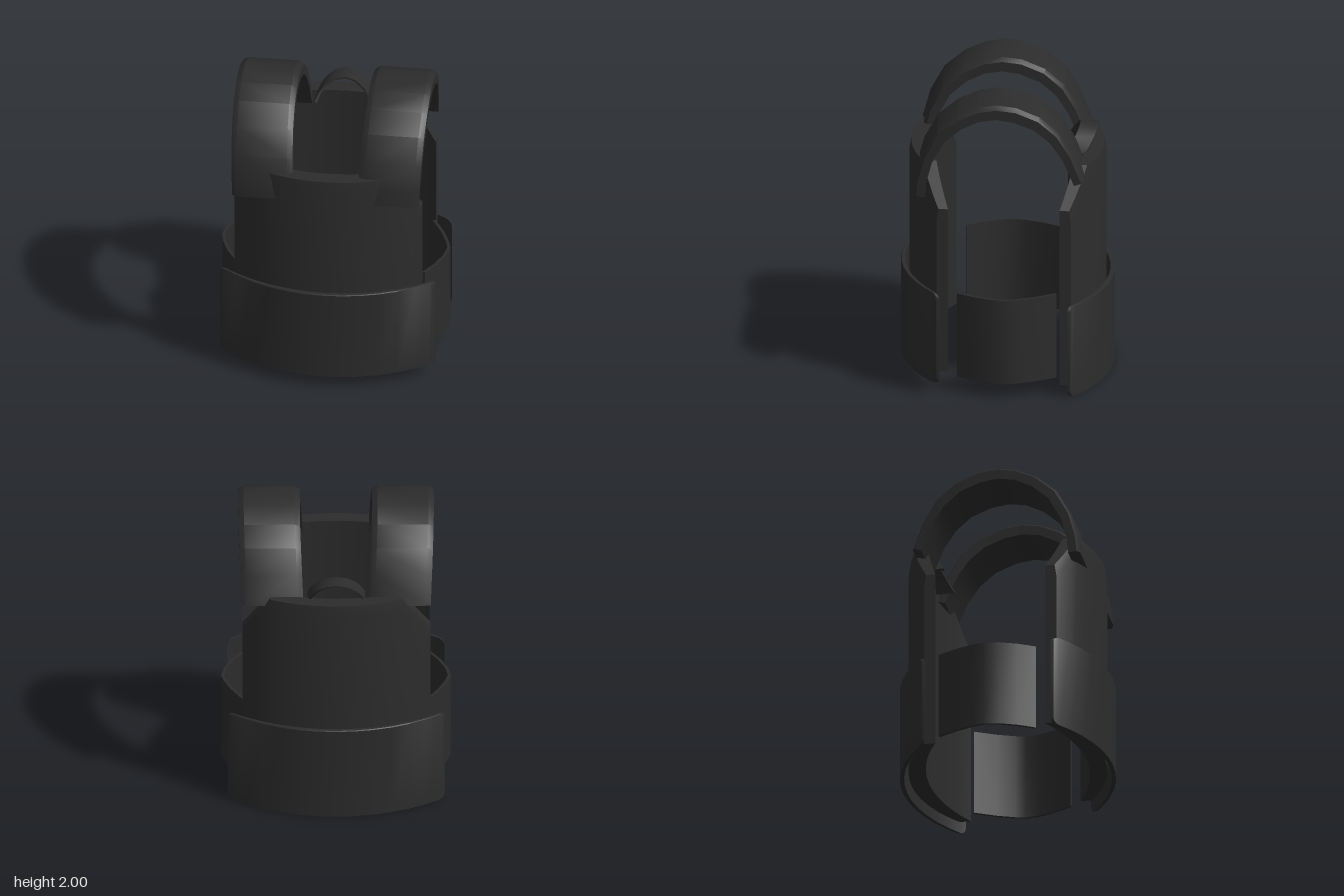
import * as THREE from 'three';
import { toCreasedNormals } from 'three/addons/utils/BufferGeometryUtils.js';

// Skin a series of closed rings ([x, y, z] points), cap both ends, face outward
function loft(rings) {
  const tris = [];
  const n = rings[0].length;
  for (let i = 0; i < rings.length - 1; i++) {
    for (let j = 0; j < n; j++) {
      const k = (j + 1) % n;
      const a = rings[i][j], b = rings[i][k], c = rings[i + 1][k], d = rings[i + 1][j];
      tris.push([a, b, c], [a, c, d]);
    }
  }
  const first = rings[0], last = rings[rings.length - 1];
  for (let j = 1; j < n - 1; j++) {
    tris.push([first[0], first[j + 1], first[j]], [last[0], last[j], last[j + 1]]);
  }
  // Signed volume decides the winding
  let volume = 0;
  for (const [a, b, c] of tris) {
    volume += a[0] * (b[1] * c[2] - b[2] * c[1]) + a[1] * (b[2] * c[0] - b[0] * c[2]) + a[2] * (b[0] * c[1] - b[1] * c[0]);
  }
  const pos = tris.flatMap(([a, b, c]) => (volume > 0 ? [a, b, c] : [a, c, b]).flat());
  const geo = new THREE.BufferGeometry();
  geo.setAttribute('position', new THREE.Float32BufferAttribute(pos, 3));
  return toCreasedNormals(geo, 0.55);
}

// Depth of a circular bow that falls from zMid to zEdge at half width w
function bow(x, w, zMid, zEdge) {
  const s = zMid - zEdge;
  const r = (w * w + s * s) / (2 * s);
  return zMid - r + Math.sqrt(r * r - x * x);
}

// Bowed upright panel; heights(x) gives [bottom, top], bevel = [height, depth]
function bowedPanel(xs, heights, w, outer, inner, bevel) {
  const all = [...xs.slice(1).reverse().map((x) => -x), ...xs];
  return loft(all.map((x) => {
    const [yb, yt] = heights(Math.abs(x));
    const zo = bow(x, w, ...outer), zi = bow(x, w, ...inner);
    return [[x, yb, zi], [x, yb, zo], [x, yt - bevel[0], zo], [x, yt, zo - bevel[1]], [x, yt, zi]];
  }));
}

export function createModel() {
  const model = new THREE.Group();
  model.name = 'vest';
  const fabric = new THREE.MeshStandardMaterial({ color: 0x2c2c2c });
  fabric.name = 'black fabric';
  const add = (name, geo) => {
    const mesh = new THREE.Mesh(geo, fabric);
    mesh.name = name;
    model.add(mesh);
    return mesh;
  };

  // Chest and back plates with cut-off shoulders
  const plateXs = [0, 0.11, 0.22, 0.33, 0.43, 0.5, 0.565, 0.615];
  const plate = (yb, yt) => bowedPanel(plateXs, (x) => {
    const t = Math.max(0, (x - 0.43) / 0.185);
    return [yb, yt - (yt - 1.27) * t];
  }, 0.615, [0.645, 0.44], [0.525, 0.365], [0.08, 0.012]);
  add('frontPlate', plate(0.13, 1.54));
  add('backPlate', plate(0.05, 1.525)).rotation.y = Math.PI;

  // Wide waist flaps with rounded corners
  const flapXs = [0, 0.12, 0.24, 0.36, 0.48, 0.59, 0.675, 0.695, 0.707, 0.712];
  const flap = (yb, yt) => bowedPanel(flapXs, (x) => {
    const d = Math.max(0, x - 0.672);
    const cut = 0.04 - Math.sqrt(0.0016 - d * d);
    return [yb + cut, yt - cut];
  }, 0.712, [0.7, 0.44], [0.672, 0.418], [0.006, 0.004]);
  add('frontWaistFlap', flap(0.08, 0.71));
  add('backWaistFlap', flap(0, 0.635)).rotation.y = Math.PI;

  // Side bands
  const bandPath = [[0.615, -0.345], [0.69, -0.205], [0.735, -0.09], [0.752, -0.02], [0.735, 0.08], [0.69, 0.195], [0.625, 0.305]];
  for (const side of [1, -1]) {
    add(side > 0 ? 'leftSideBand' : 'rightSideBand', loft(bandPath.map(([x, z]) => {
      const xi = x - 0.02, zi = z * 0.985;
      return [[side * xi, 0.1, zi], [side * x, 0.1, z], [side * x, 0.685, z], [side * xi, 0.685, zi]];
    })));
  }

  // Padded shoulder straps: [z, y] of the outer and inner faces, front to back
  const strapOuter = [[0.592, 1.36], [0.582, 1.47], [0.535, 1.64], [0.44, 1.81], [0.305, 1.92], [0.17, 1.98], [0.05, 2],
    [-0.08, 1.985], [-0.235, 1.92], [-0.36, 1.81], [-0.45, 1.66], [-0.522, 1.47]];
  const strapInner = [[0.518, 1.35], [0.51, 1.45], [0.47, 1.6], [0.39, 1.745], [0.28, 1.84], [0.165, 1.895], [0.05, 1.912],
    [-0.065, 1.895], [-0.2, 1.84], [-0.305, 1.75], [-0.385, 1.63], [-0.46, 1.45]];
  for (const side of [1, -1]) {
    add(side > 0 ? 'leftShoulderStrap' : 'rightShoulderStrap', loft(strapOuter.map(([zo, yo], i) => {
      const [zi, yi] = strapInner[i];
      const shift = 0.027 * Math.min(1, Math.max(0, (yo - 1.36) / 0.6));
      const x0 = 0.21 + shift, x1 = 0.613 + shift;
      // t = 0 on the inner face, 1 on the outer face
      const p = (x, t) => [side * x, yi + (yo - yi) * t, zi + (zo - zi) * t];
      return [p(x0, 0), p(x0, 0.75), p(x0 + 0.035, 1), p(x1 - 0.035, 1), p(x1, 0.75), p(x1, 0)];
    })));
  }

  // Carry handle: a thin loop leaning backward
  const handlePath = [[-0.188, 1.51], [-0.165, 1.56], [-0.13, 1.605], [-0.075, 1.645], [0, 1.662],
    [0.075, 1.645], [0.13, 1.605], [0.165, 1.56], [0.188, 1.51]];
  add('carryHandle', loft(handlePath.map(([x, y]) => {
    const lean = (y - 1.51) * 0.57;
    const zf = -0.39 - lean, zb = -0.515 - lean;
    const xi = x * 0.94, yi = y - 0.012;
    return [[x, y, zf], [x, y, zb], [xi, yi, zb], [xi, yi, zf]];
  })));

  return model;
}
